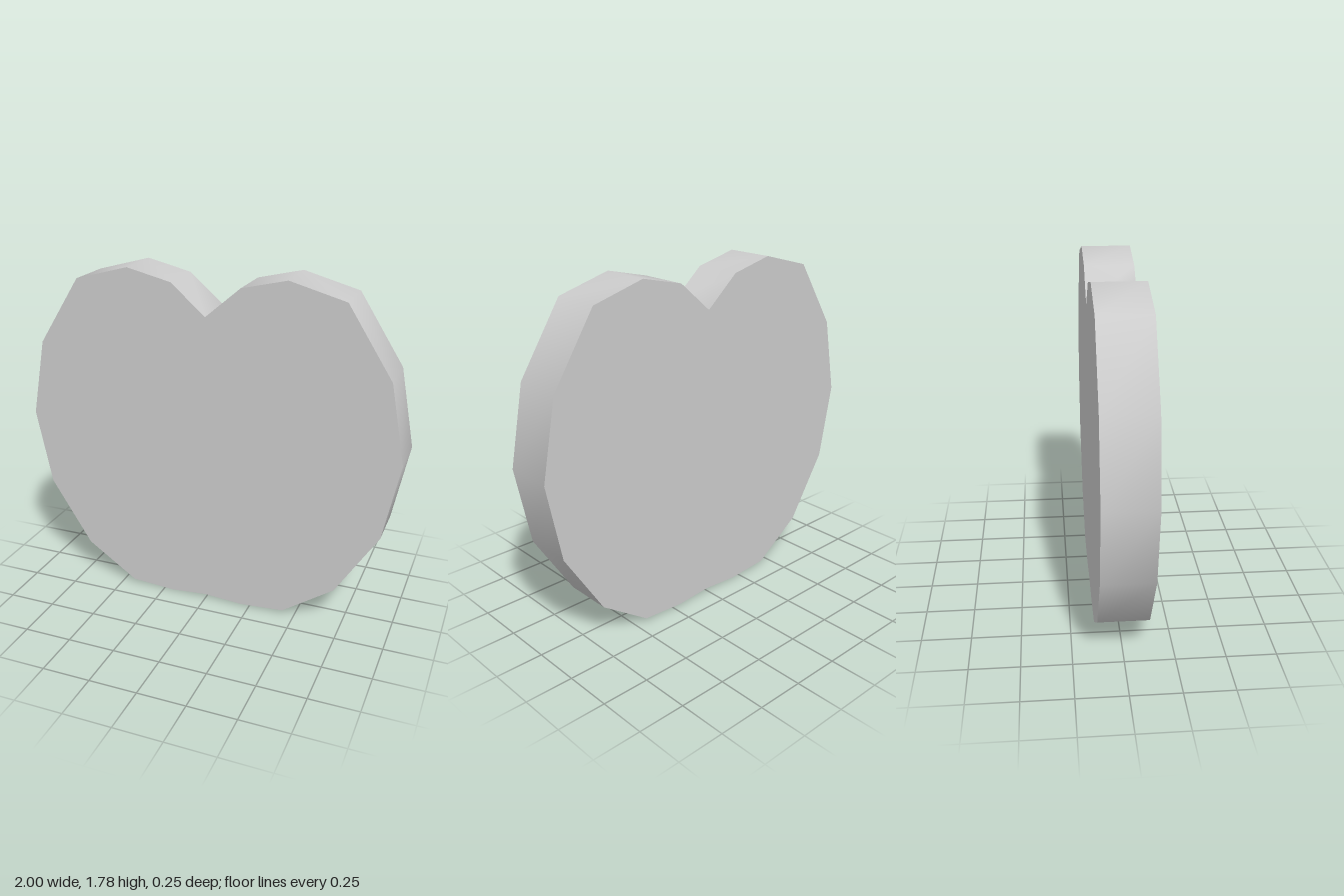
import * as THREE from 'three';
import { toCreasedNormals } from 'three/addons/utils/BufferGeometryUtils.js';

const DEPTH = 0.255;

// Left half of the outline, from the notch at the top down to the bottom dip
const HALF = [
  [0, 1.575], [0.18, 1.73], [0.412, 1.785], [0.695, 1.708], [0.922, 1.355], [1, 0.95],
  [0.922, 0.548], [0.705, 0.202], [0.435, 0.016], [0.2, 0], [0, 0.015],
];

export function createModel() {
  const group = new THREE.Group();
  group.name = 'notchedPlate';

  // Mirror the half outline, leaving out the two points on the centre line
  const mirrored = HALF.slice(1, -1).reverse().map(([x, y]) => [-x, y]);
  const outline = [...HALF, ...mirrored].map(([x, y]) => new THREE.Vector2(x, y));

  // Flat faces front and back, smooth rim with sharp borders
  const extruded = new THREE.ExtrudeGeometry(new THREE.Shape(outline), { depth: DEPTH, bevelEnabled: false });
  extruded.translate(0, 0, -DEPTH / 2);
  const plate = new THREE.Mesh(
    toCreasedNormals(extruded, 1.5),
    new THREE.MeshStandardMaterial({ color: 0xcccccc })
  );
  plate.name = 'plate';
  group.add(plate);

  return group;
}
